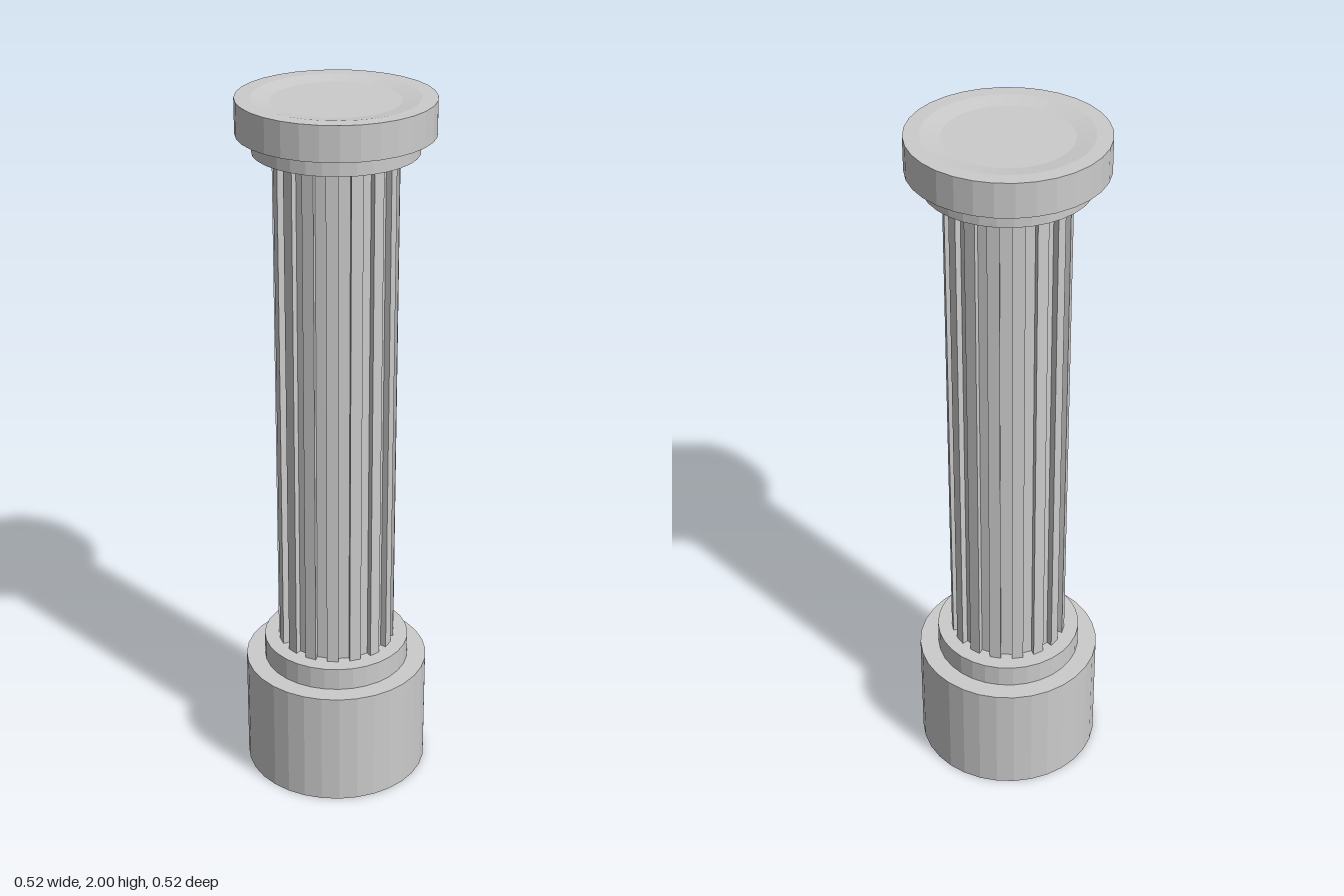
import * as THREE from 'three';

const SIDES = 32;
const material = new THREE.MeshStandardMaterial({ color: 0xcccccc, flatShading: true });

// Turned solid from [radius, height] points, listed from bottom to top
function turned(name, profile) {
  const points = profile.map(([r, y]) => new THREE.Vector2(r, y));
  const mesh = new THREE.Mesh(new THREE.LatheGeometry(points, SIDES), material);
  mesh.name = name;
  return mesh;
}

// Shaft: every second side of the prism is sunk inwards to form a flute
function flutedShaft(radius, depth, bottom, top) {
  const step = (Math.PI * 2) / SIDES;
  const corner = (k) => new THREE.Vector2(Math.sin(k * step), -Math.cos(k * step)).multiplyScalar(radius);
  const outline = [];
  for (let k = 0; k < SIDES; k++) {
    const a = corner(k);
    outline.push(a);
    if (k % 2 === 1) {
      const b = corner(k + 1);
      const inward = a.clone().add(b).normalize().multiplyScalar(-depth);
      outline.push(a.clone().add(inward), b.clone().add(inward));
    }
  }
  const geometry = new THREE.ExtrudeGeometry(new THREE.Shape(outline), {
    depth: top - bottom,
    bevelEnabled: false,
  });
  geometry.rotateX(-Math.PI / 2).translate(0, bottom, 0);
  const mesh = new THREE.Mesh(geometry, material);
  mesh.name = 'flutedShaft';
  return mesh;
}

export function createModel() {
  const column = new THREE.Group();
  column.name = 'column';

  // Stepped round base
  column.add(turned('base', [
    [0, 0], [0.262, 0], [0.262, 0.34], [0.208, 0.34], [0.208, 0.406], [0, 0.406],
  ]));

  column.add(flutedShaft(0.167, 0.018, 0.406, 1.848));

  // Capital: plain collar, stepped rings and a shallow dish on top
  column.add(turned('capital', [
    [0, 1.848], [0.167, 1.848], [0.167, 1.857], [0.22, 1.857], [0.22, 1.906],
    [0.262, 1.906], [0.262, 2], [0.22, 2], [0.17, 1.992], [0, 1.992],
  ]));

  return column;
}
